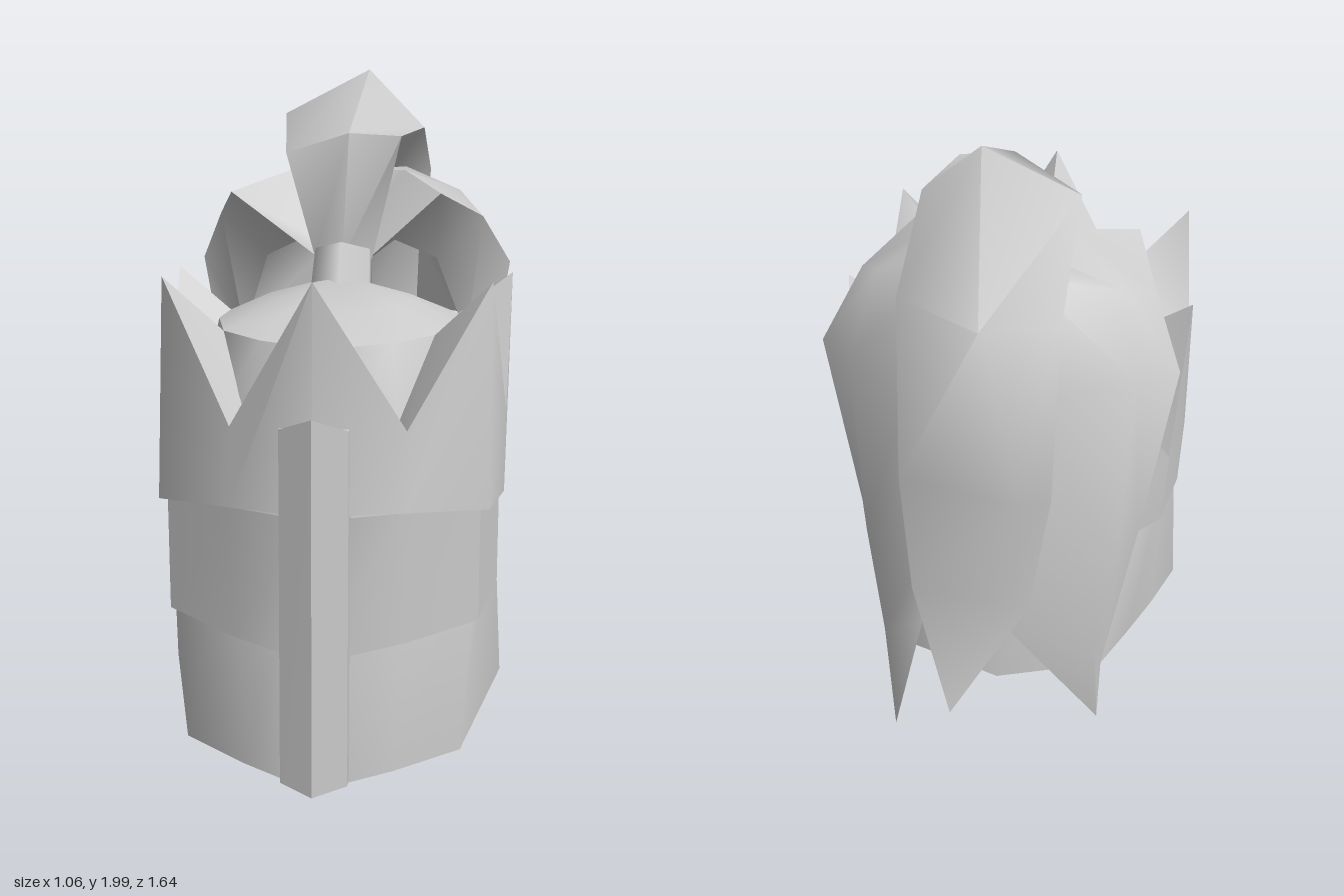
import * as THREE from 'three';
import { toCreasedNormals } from 'three/addons/utils/BufferGeometryUtils.js';

// Skin a surface over rows of [x, y, z] points; closed joins each row's ends.
function loft(name, rows, { closed = true, crease = 0.95, double = false } = {}) {
  const n = rows[0].length, index = [];
  for (let i = 0; i < rows.length - 1; i++) {
    for (let j = 0; j < (closed ? n : n - 1); j++) {
      const k = (j + 1) % n;
      const a = i * n + j, b = i * n + k, c = a + n, d = b + n;
      index.push(a, b, d, a, d, c);
    }
  }
  const geo = new THREE.BufferGeometry();
  geo.setAttribute('position', new THREE.Float32BufferAttribute(rows.flat(2), 3));
  geo.setIndex(index);
  const mesh = new THREE.Mesh(toCreasedNormals(geo, crease), new THREE.MeshStandardMaterial({
    color: 0xcccccc, side: double ? THREE.DoubleSide : THREE.FrontSide,
  }));
  mesh.name = name;
  return mesh;
}

const flip = ([x, y, z]) => [-x, y, z];
// Full ring from its +x half, listed front to back.
const ring = (half) => [...half, ...half.slice(1, -1).reverse().map(flip)];
const point = (n, p) => Array.from({ length: n }, () => p);

export function createModel() {
  const model = new THREE.Group();

  // Helmet shell with slanted base
  const base = ring([[0, .01, .78], [.22, .03, .67], [.41, .055, .56], [.52, .15, .18], [.46, .168, -.02],
    [.395, .184, -.2], [.325, .2, -.38], [.16, .19, -.425], [0, .18, -.47]]);
  const brow = ring([[0, .8, .74], [.24, .8, .64], [.455, .78, .5], [.49, .74, .2], [.48, .72, -.04],
    [.44, .7, -.2], [.33, .7, -.355], [.16, .7, -.39], [0, .7, -.4]]);
  const domeEdge = ring([[0, 1.25, .53], [.19, 1.26, .47], [.31, 1.27, .39], [.365, 1.265, .17], [.36, 1.26, 0],
    [.33, 1.25, -.13], [.24, 1.24, -.23], [.13, 1.24, -.28], [0, 1.24, -.3]]);
  model.add(loft('helmetShell', [point(16, [0, .03, -.08]), base, brow, domeEdge]));

  // Shallow dome
  const domeMid = domeEdge.map(([x, y, z]) => [x * .62, y + .065, .1 + (z - .1) * .62]);
  model.add(loft('helmetDome', [domeEdge, domeMid, point(16, [0, 1.39, .08])]));

  // Crown: outer wall, zigzag points and bevel running in to the dome
  const crownBase = ring([[0, .83, .77], [.25, .82, .675], [.48, .8, .55], [.52, .76, .24], [.52, .73, -.04],
    [.485, .72, -.24], [.35, .71, -.38], [.17, .7, -.42], [0, .7, -.44]]);
  const crownTips = ring([[0, 1.48, .75], [.25, 1.05, .65], [.475, 1.44, .46], [.52, 1.02, .24], [.53, 1.39, -.04],
    [.5, .97, -.25], [.38, 1.2, -.35], [.18, .97, -.43], [0, 1.2, -.45]]);
  const crownInner = domeEdge.map(([x, y, z], i) => (i % 2 ? [x * 1.04, 1.03, z * 1.08] : [x, y, z]));
  const crownUnder = crownBase.map(([x, y, z]) => [x * .88, y + .01, z * .88]);
  model.add(loft('crown', [crownUnder, crownBase, crownTips, crownInner], { double: true }));

  // Wraparound visor plate, its end points turned in to the shell
  const visorHalf = [[0, .4, .775], [.25, .43, .67], [.455, .46, .545], [.505, .5, .305], [.46, .5, .285]];
  const visorArc = [...visorHalf.slice(1).reverse().map(flip), ...visorHalf];
  const visorUnder = visorArc.map(([x, y, z]) => [x * .9, y, z * .9]);
  const visorTop = visorArc.map(([x, , z]) => [x, z < .5 ? .77 : .82, z]);
  model.add(loft('visor', [visorUnder, visorArc, visorTop], { closed: false, crease: .8, double: true }));

  // Ridged bar down the face
  const bar = (yMid, ySide, dz) => [[0, yMid, .815 + dz], [.097, ySide, .77 + dz], [.097, ySide, .7 + dz],
    [-.097, ySide, .7 + dz], [-.097, ySide, .77 + dz]];
  model.add(loft('faceBar', [point(5, [0, .02, .75]), bar(.01, .03, .005), bar(1.11, 1.07, -.03),
    point(5, [0, 1.08, .7])], { crease: .3 }));

  // Plume socket
  const socket = new THREE.Mesh(new THREE.CylinderGeometry(.098, .105, .15, 6),
    new THREE.MeshStandardMaterial({ color: 0xcccccc }));
  socket.name = 'plumeSocket';
  socket.position.set(0, 1.375, .02);
  socket.rotation.x = -.56;
  model.add(socket);

  // Centre feather, a diamond section: left edge, ridge, right edge, underside
  model.add(loft('centreFeather', [
    [[-.09, 1.43, -.01], [0, 1.43, .03], [.09, 1.43, -.01], [0, 1.42, -.05]],
    [[-.19, 1.75, -.08], [.02, 1.82, .02], [.18, 1.81, -.005], [.02, 1.6, -.05]],
    [[-.22, 1.86, -.3], [.05, 2, -.33], [.235, 1.82, -.26], [.02, 1.69, -.24]],
    [[-.22, 1.66, -.68], [-.02, 1.69, -.77], [.24, 1.66, -.58], [.03, 1.56, -.5]],
    [[-.21, 1.15, -.74], [-.13, 1.18, -.82], [.22, 1.17, -.73], [.03, 1.17, -.6]],
    [[-.14, .7, -.69], [-.05, .75, -.735], [.2, .76, -.725], [.05, .6, -.61]],
    point(4, [.08, .35, -.81]),
  ], { crease: 1.3, double: true }));

  // Side feathers: back edge, ridge, front edge, underside
  const side = [
    [[0, 1.44, -.1], [.05, 1.46, -.05], [.06, 1.41, -.03], [.03, 1.4, -.07]],
    [[.04, 1.68, -.26], [.18, 1.69, -.18], [.3, 1.63, -.06], [.15, 1.47, -.15]],
    [[.13, 1.69, -.46], [.35, 1.61, -.36], [.43, 1.54, -.23], [.28, 1.4, -.25]],
    [[.2, 1.4, -.63], [.41, 1.4, -.5], [.52, 1.37, -.38], [.38, 1.12, -.35]],
    [[.18, .8, -.62], [.38, .8, -.54], [.43, .8, -.4], [.36, .75, -.42]],
    [[.2, .53, -.63], [.33, .45, -.59], [.34, .33, -.5], [.29, .38, -.54]],
  ];
  // Right feather: back edge broader toward the centre, front corner further out
  const broad = [0, .03, .05, .1, .14, .12];
  const rightSide = side.map(([[x, y, z], ridge, front, under], i) =>
    [[x - broad[i], y, z], ridge, i === 1 ? [.36, 1.63, -.04] : front, under].map(flip));
  for (const [name, rows, tip] of [['leftFeather', side, [.27, .2, -.74]],
    ['rightFeather', rightSide, [-.34, .16, -.57]]]) {
    model.add(loft(name, [...rows, point(4, tip)], { crease: 1.1, double: true }));
  }
  return model;
}
